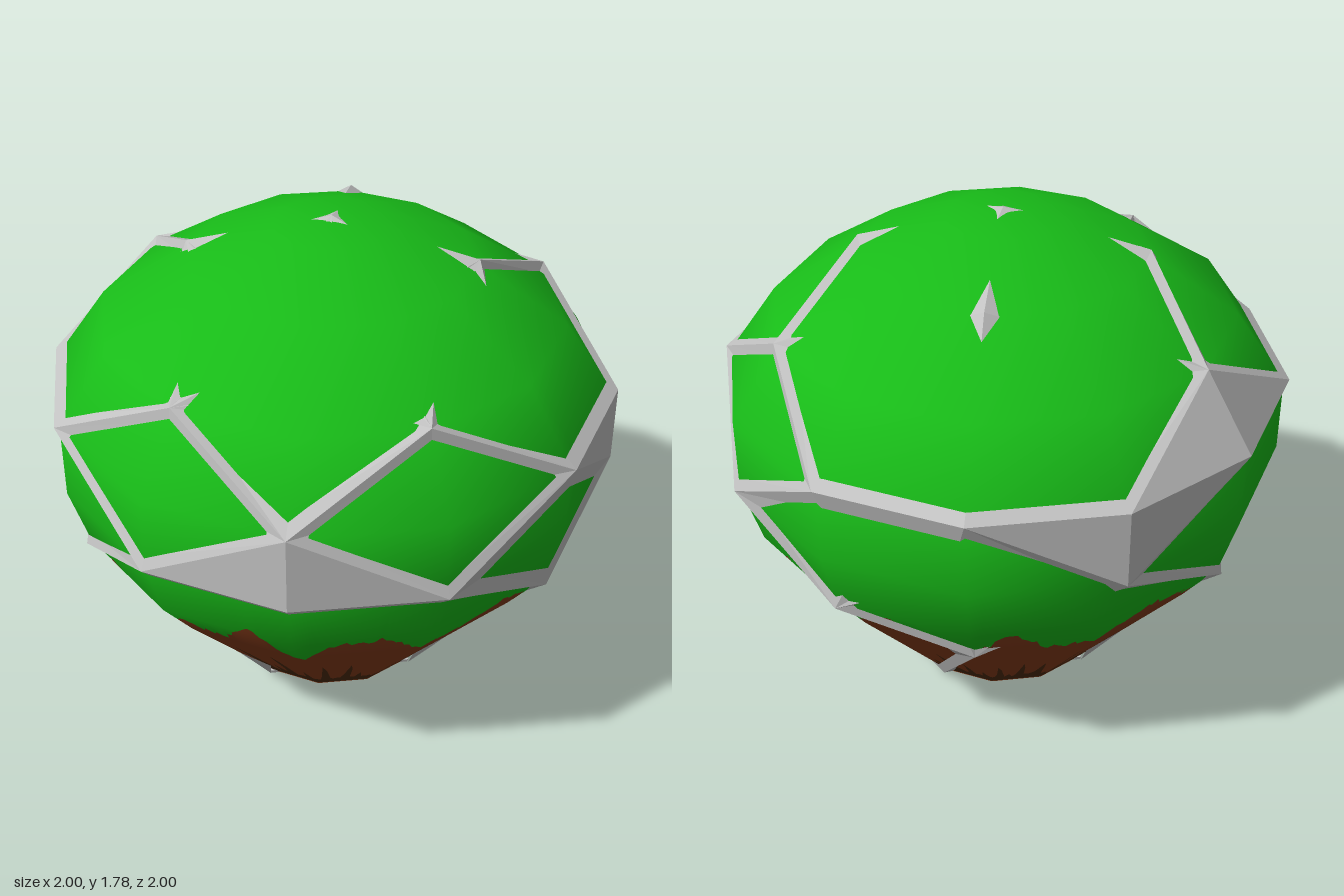
import * as THREE from 'three';

const V = (x, y, z) => new THREE.Vector3(x, y, z);
const D2R = Math.PI / 180;

// Rings of the twelve-sided cage: [radius, height], from crown to base
const RINGS = { P: [0, 1.78], A: [0.5, 1.65], B: [0.82, 1.44], C: [1, 1.18], D: [1, 0.9], E: [0.93, 0.67], F: [0.8, 0.5], G: [0.37, 0] };
const KEYS = Object.keys(RINGS);

// Outward normal [radial, up] of the profile at each ring
const ringNormal = (i) => {
  if (i === 0) return [0, 1];
  const a = RINGS[KEYS[i - 1]], b = RINGS[KEYS[Math.min(i + 1, 7)]];
  const r = a[1] - b[1], y = b[0] - a[0], l = Math.hypot(r, y);
  return [r / l, y / l];
};

// Cage node such as 'C-60': ring letter and angle from the front
function node(name) {
  const i = KEYS.indexOf(name[0]), a = (parseFloat(name.slice(1)) || 0) * D2R;
  const [r, y] = RINGS[name[0]], [nr, ny] = ringNormal(i);
  return { p: V(r * Math.sin(a), y, r * Math.cos(a)), n: V(nr * Math.sin(a), ny, nr * Math.cos(a)) };
}

// Body profile, slightly inside the cage
const BODY = KEYS.map((k, i) => {
  const n = ringNormal(i), [r, y] = RINGS[k];
  return { r: r - 0.02 * n[0], y: y - 0.02 * n[1], n };
});
BODY[7].y = 0.008;
BODY[0].y = 1.772;
BODY.splice(1, 0, { r: 0.2, y: 1.752, n: [0.2, 0.98] });
const BOTTOM = 0.008;

// Point and smooth normal of the body at an angle and height
function surface(a, y) {
  let i = 0;
  while (i < BODY.length - 2 && y < BODY[i + 1].y) i++;
  const p = BODY[i], q = BODY[i + 1], t = (p.y - y) / (p.y - q.y);
  const seg = 30 * D2R, off = a - Math.floor(a / seg) * seg - seg / 2;
  const r = (p.r + (q.r - p.r) * t) * Math.cos(seg / 2) / Math.cos(off);
  const nr = p.n[0] + (q.n[0] - p.n[0]) * t, ny = p.n[1] + (q.n[1] - p.n[1]) * t;
  return [V(r * Math.sin(a), y, r * Math.cos(a)), V(nr * Math.sin(a), ny, nr * Math.cos(a)).normalize()];
}

// Drops a point onto the body, towards its middle
function project(q) {
  const d = q.clone().sub(V(0, 1, 0));
  let lo = 0.3, hi = 1.5;
  for (let i = 0; i < 30; i++) {
    const m = (lo + hi) / 2, y = 1 + d.y * m;
    const inside = y < BODY[0].y && y > BOTTOM &&
      Math.hypot(d.x, d.z) * m < Math.hypot(...surface(Math.atan2(d.x, d.z), y)[0].setY(0).toArray());
    if (inside) lo = m; else hi = m;
  }
  return d.multiplyScalar(lo * 0.997).add(V(0, 1, 0));
}

// Adds a triangle turned so that it faces along n
function tri(out, a, b, c, n) {
  const f = b.clone().sub(a).cross(c.clone().sub(a));
  const order = f.dot(n) < 0 ? [a, c, b] : [a, b, c];
  order.forEach((v) => out.push(v.x, v.y, v.z));
}

function flatMesh(name, positions, material) {
  const g = new THREE.BufferGeometry();
  g.setAttribute('position', new THREE.Float32BufferAttribute(positions, 3));
  g.computeVertexNormals();
  const m = new THREE.Mesh(g, material);
  m.name = name;
  return m;
}

// Ridged beams along the paths, mitred where they meet; wide[a>b] sets the width left of a to b
function buildBeams(paths, wide) {
  const out = [], links = {}, left = {}, right = {};
  const width = (a, b) => wide[a + '>' + b] ?? 0.042;
  for (const path of paths) path.split(' ').forEach((b, i, n) => {
    if (i === 0) return;
    (links[n[i - 1]] ??= []).push(b);
    (links[b] ??= []).push(n[i - 1]);
  });
  for (const [name, ends] of Object.entries(links)) {
    const { p, n } = node(name);
    const u = V(0, 1, 0).cross(n).normalize(), v = n.clone().cross(u);
    const at = (x, y) => project(p.clone().addScaledVector(u, x).addScaledVector(v, y));
    const rays = ends.map((to) => {
      const d = node(to).p.sub(p);
      return { to, a: Math.atan2(d.dot(v), d.dot(u)) };
    }).sort((s, t) => s.a - t.a);
    rays.forEach((s, i) => {
      const t = rays[(i + 1) % rays.length];
      const ws = width(name, s.to), wt = width(t.to, name);
      if (rays.length === 1) {
        const c = Math.cos(s.a), k = Math.sin(s.a), tip = at(-0.06 * c, -0.06 * k);
        const l = left[name + '>' + s.to] = at(-k * ws, c * ws);
        const r = right[name + '>' + s.to] = at(k * wt, -c * wt);
        tri(out, p, l, tip, n);
        tri(out, p, r, tip, n);
        return;
      }
      let gap = t.a - s.a;
      if (gap <= 0) gap += Math.PI * 2;
      const sin = Math.sin(gap), mid = s.a + gap / 2, w = (ws + wt) / 2;
      const foot = Math.abs(sin) < 0.25 ? at(Math.cos(mid) * w, Math.sin(mid) * w)
        : at((Math.cos(s.a) * wt + Math.cos(t.a) * ws) / sin, (Math.sin(s.a) * wt + Math.sin(t.a) * ws) / sin);
      left[name + '>' + s.to] = right[name + '>' + t.to] = foot;
    });
  }
  for (const [a, ends] of Object.entries(links)) for (const b of ends) {
    const s = node(a), t = node(b), fa = left[a + '>' + b], fb = right[b + '>' + a];
    tri(out, s.p, t.p, fa, s.n);
    tri(out, t.p, fb, fa, t.n);
  }
  return out;
}

// Kite-shaped horn running from a node towards another, widest at a distance along it
function spur(out, from, to, length, w, at) {
  const a = node(from), dir = node(to).p.sub(a.p).normalize();
  const s = dir.clone().cross(a.n).normalize();
  const tip = project(a.p.clone().addScaledVector(dir, length));
  for (const k of [-1, 1]) {
    const f = project(a.p.clone().addScaledVector(dir, at).addScaledVector(s, k * w));
    tri(out, a.p, f, tip, a.n);
  }
}

// Part of the body between two height functions of the angle
function bodyBand(name, lo, hi, material) {
  const N = 288, pos = [], nor = [], idx = [], rows = BODY.length;
  for (let i = 0; i <= N; i++) {
    const a = (i / N) * Math.PI * 2, l = lo(i % N), h = hi(i % N);
    for (const b of BODY) {
      const [p, n] = surface(a, Math.min(h, Math.max(l, b.y)));
      pos.push(p.x, p.y, p.z);
      nor.push(n.x, n.y, n.z);
    }
  }
  for (let i = 0; i < N; i++) for (let j = 0; j < rows - 1; j++) {
    const a = i * rows + j, b = a + rows;
    idx.push(a, a + 1, b, b, a + 1, b + 1);
  }
  const g = new THREE.BufferGeometry();
  g.setAttribute('position', new THREE.Float32BufferAttribute(pos, 3));
  g.setAttribute('normal', new THREE.Float32BufferAttribute(nor, 3));
  g.setIndex(idx);
  const m = new THREE.Mesh(g, material);
  m.name = name;
  return m;
}

export function createModel() {
  const mat = (name, color) => Object.assign(new THREE.MeshStandardMaterial({ color }), { name });
  const green = mat('leaf green', 0x18bc18), brown = mat('earth brown', 0x863c1a);
  const dark = mat('dark soil', 0x4c2a08), grey = mat('stone grey', 0xc2c2c2);
  const model = new THREE.Group();
  model.name = 'cagedBulb';
  let seed = 7;
  const rand = () => (seed = (seed * 16807) % 2147483647) / 2147483647;

  // Ragged edge between green and brown, one height every ten degrees
  const edge = [0.6, 0.66, 0.54, 0.7, 0.62, 0.5, 0.58, 0.67, 0.52, 0.53, 0.64, 0.5, 0.54, 0.64, 0.48, 0.53, 0.67, 0.62,
    0.55, 0.7, 0.6, 0.66, 0.52, 0.64, 0.54, 0.68, 0.58, 0.6, 0.54, 0.69, 0.5, 0.65, 0.67, 0.56, 0.52, 0.68];
  const ragged = [], soil = [];
  for (let i = 0; i < 288; i++) {
    const k = Math.floor(i / 8), t = (i % 8) / 8;
    ragged.push(edge[k] + (edge[(k + 1) % 36] - edge[k]) * t * t * (3 - 2 * t) + (rand() - 0.5) * 0.06);
    soil.push(0.06 + rand() * 0.04);
  }
  // Thin dark streaks rising from the base
  for (let i = 3; i < 286; i += 5 + Math.floor(rand() * 5)) {
    const h = 0.13 + rand() * 0.23;
    soil[i] = h;
    soil[i + 1] = h * 0.75;
    soil[i - 1] = Math.max(soil[i - 1], h * 0.45);
  }
  model.add(bodyBand('greenCrown', (i) => ragged[i], () => BODY[0].y, green));
  model.add(bodyBand('brownRoot', (i) => soil[i], (i) => ragged[i], brown));
  model.add(bodyBand('soilStreaks', () => BOTTOM, (i) => soil[i], dark));
  const cap = new THREE.Mesh(new THREE.CylinderGeometry(0.355, 0.355, 0.004, 12), brown);
  cap.position.y = BOTTOM;
  cap.name = 'rootUnderside';
  model.add(cap);

  // Beams of the cage, as paths through the nodes
  const paths = [
    'C0 B-30 C-60 D-30 C0', 'D-30 E0 D30 C0 C30', 'D-30 D-60 D-90 C-60', 'C30 B60 C90 D60 C30', 'B60 A30', 'C30 D30',
    'D30 D60 E90 F120 G90', 'C90 C120 D150 E180', 'C120 C150 B180 C-150 C180 D150', 'B180 A-150',
    'C-150 C-120 B-90 C-60', 'C-120 D-90 E-120',
  ];
  const wide = { 'G90>F120': 0.13, 'F120>E90': 0.08 };
  for (const loop of ['C0 D-30 E0 D30 C0', 'D150 C120 C90 D60 E90 F120']) {
    loop.split(' ').forEach((b, i, n) => { if (i) wide[n[i - 1] + '>' + b] = 0.078; });
  }
  model.add(flatMesh('cageBeams', buildBeams(paths, wide), grey));

  // Solid triangular panels
  const panels = [];
  for (const t of ['C0 C30 D30', 'C30 D30 D60', 'C-60 D-60 D-30', 'C-60 D-60 D-90',
    'B180 C180 C-150', 'B180 C150 C180', 'C150 C180 D150', 'C120 C150 D150']) {
    const [a, b, c] = t.split(' ').map(node);
    tri(panels, a.p, b.p, c.p, a.n);
  }
  model.add(flatMesh('cagePanels', panels, grey));

  // Horns at broken ends, loose nodes and the foot corners
  const spurs = [];
  for (const s of ['B-30 A0', 'A30 P', 'A30 B0', 'B60 A90', 'A-150 P', 'A-150 B180', 'B180 A150', 'B-90 A-60', 'B-90 A-120',
    'E0 F0', 'E90 D120', 'E90 F90', 'F120 E150', 'F120 G120', 'E180 F180', 'E-120 F-120', 'A120 P', 'A120 B120']) {
    spur(spurs, ...s.split(' '), s.startsWith('A') && s.endsWith('P') ? 0.17 : 0.11, 0.055, 0);
  }
  for (const a of [0, 110, 220]) spur(spurs, 'P', 'A' + a, 0.09, 0.045, 0);
  for (const a of [0, 180, -90]) spur(spurs, 'G' + a, 'F' + a, 0.33, 0.05, 0.11);
  model.add(flatMesh('cageHorns', spurs, grey));

  // Square foot plate
  const foot = new THREE.Mesh(new THREE.CylinderGeometry(0.37, 0.365, 0.014, 4).toNonIndexed(), grey);
  foot.geometry.computeVertexNormals();
  foot.position.y = 0.007;
  foot.name = 'footPlate';
  model.add(foot);
  return model;
}
